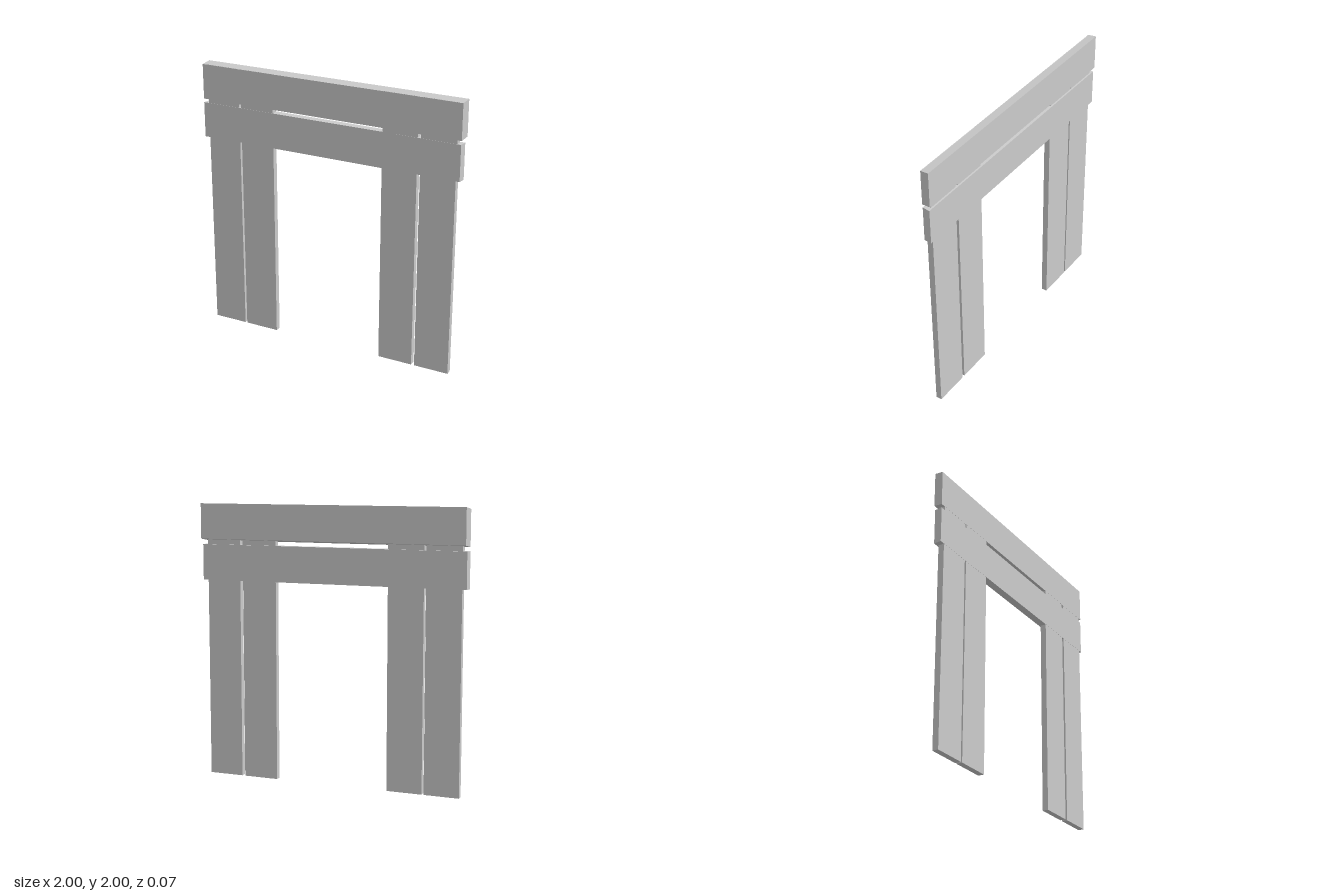
import * as THREE from 'three';

const FRONT = 0.034;
const material = new THREE.MeshStandardMaterial({ color: 0xcccccc, flatShading: true });

// Board from x0..x1, y0..y1, running back from the front plane to zBack;
// its rear face may be shifted by (dx, dy) so that the board is slightly skewed.
function board(name, [x0, x1], [y0, y1], zBack, dx = 0, dy = 0, zFront = FRONT) {
  const geometry = new THREE.BoxGeometry(x1 - x0, y1 - y0, zFront - zBack);
  geometry.translate((x0 + x1) / 2, (y0 + y1) / 2, (zFront + zBack) / 2);
  const p = geometry.attributes.position;
  for (let i = 0; i < p.count; i++) {
    if (p.getZ(i) < (zFront + zBack) / 2) p.setXY(i, p.getX(i) + dx, p.getY(i) + dy);
  }
  geometry.computeVertexNormals();
  const mesh = new THREE.Mesh(geometry, material);
  mesh.name = name;
  return mesh;
}

export function createModel() {
  const model = new THREE.Group();
  model.name = 'plankGateway';

  // Two pairs of upright planks, standing a hair behind the beams' front plane
  const uprights = new THREE.Group();
  uprights.name = 'uprights';
  const planks = {
    rightOuterPlank: [-0.96, -0.705],
    rightInnerPlank: [-0.69, -0.43],
    leftInnerPlank: [0.418, 0.677],
    leftOuterPlank: [0.7, 0.957],
  };
  for (const [name, span] of Object.entries(planks)) {
    uprights.add(board(name, span, [0, 1.988], -0.01, 0, 0, FRONT - 0.001));
  }
  model.add(uprights);

  // Crossbeams, the upper one thicker and more skewed
  model.add(board('lowerBeam', [-1, 0.985], [1.447, 1.705], -0.022, 0.006, 0));
  model.add(board('upperBeam', [-1, 0.988], [1.732, 1.987], -0.034, 0.012, 0.013));
  return model;
}
